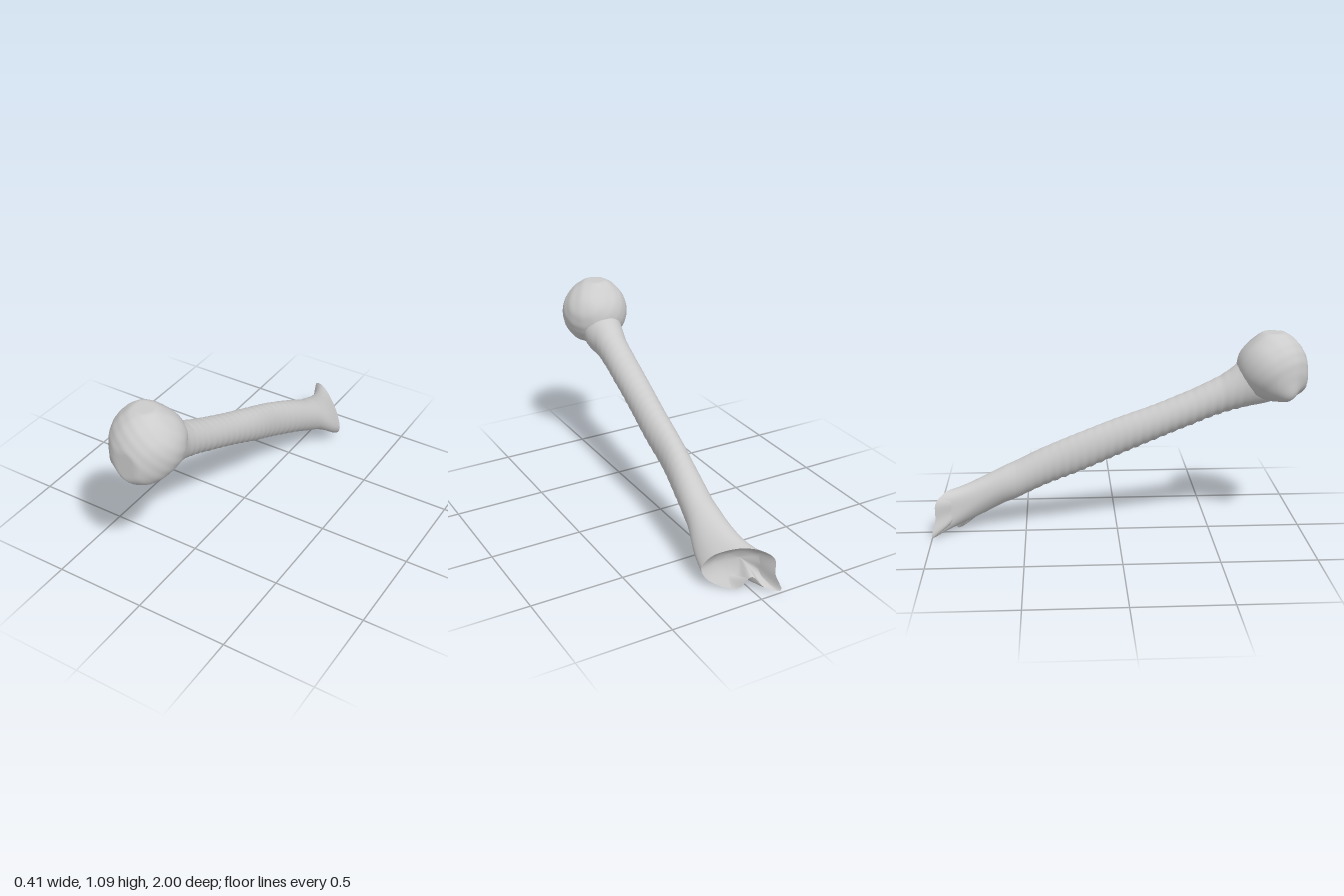
import * as THREE from 'three';

const SEG = 48;
const bone = () => new THREE.MeshStandardMaterial({ color: 0xcccccc, side: THREE.DoubleSide });
const smooth = (t) => THREE.MathUtils.smoothstep(t, 0, 1);

// Shaft stations: z, left x, right x, bottom y, top y
const STATIONS = [
  [0.90, -0.08, 0.05, 0.75, 0.95],
  [0.80, -0.11, 0.08, 0.72, 1.01],
  [0.70, -0.12, 0.10, 0.70, 1.00],
  [0.63, -0.11, 0.08, 0.685, 0.925],
  [0.55, -0.095, 0.075, 0.66, 0.865],
  [0.40, -0.085, 0.08, 0.60, 0.79],
  [0.20, -0.07, 0.09, 0.515, 0.705],
  [0.00, -0.05, 0.105, 0.425, 0.63],
  [-0.20, -0.035, 0.11, 0.335, 0.55],
  [-0.40, -0.018, 0.14, 0.25, 0.46],
  [-0.60, -0.01, 0.17, 0.15, 0.36],
  [-0.72, -0.01, 0.19, 0.08, 0.305],
  [-0.85, -0.01, 0.20, 0.03, 0.26],
];

// Outline of the forked lower end, counterclockwise from the right wing (x, y)
const END = new THREE.CatmullRomCurve3([
  [0.2, 0.11], [0.165, 0.18], [0.11, 0.22], [0.04, 0.245], [-0.03, 0.24], [-0.085, 0.2],
  [-0.09, 0.11], [-0.115, 0.02], [-0.05, 0.03], [0.0, 0.085], [0.055, 0.01], [0.17, 0.045],
].map(([x, y]) => new THREE.Vector3(x, y, -0.76 - 0.76 * (0.2 - x))), true);

// Smoothly interpolated station values at a given z
const curves = [1, 2, 3, 4].map((k) =>
  new THREE.CatmullRomCurve3(STATIONS.map((s) => new THREE.Vector3(s[0], s[k], 0)), false, 'centripetal'));
function station(z) {
  let i = 0;
  while (i < STATIONS.length - 2 && STATIONS[i + 1][0] > z) i++;
  const f = (STATIONS[i][0] - z) / (STATIONS[i][0] - STATIONS[i + 1][0]);
  const t = (i + THREE.MathUtils.clamp(f, 0, 1)) / (STATIONS.length - 1);
  return curves.map((c) => c.getPoint(t).y);
}

function shaftRing(z) {
  const [x0, x1, y0, y1] = station(z);
  return Array.from({ length: SEG }, (_, j) => {
    const a = (j / SEG) * Math.PI * 2;
    const c = Math.cos(a), s = Math.sin(a);
    // fine growth ridges, strongest on the underside
    const fade = smooth((z + 0.6) / 0.3) * smooth((0.75 - z) / 0.2);
    const r = 1 + fade * (0.012 - 0.022 * s) * Math.sin(z * 130);
    return new THREE.Vector3((x0 + x1) / 2 + c * r * (x1 - x0) / 2, (y0 + y1) / 2 + s * r * (y1 - y0) / 2, z);
  });
}

function loft(rings) {
  const pos = [], index = [];
  rings.forEach((ring) => ring.forEach((p) => pos.push(p.x, p.y, p.z)));
  for (let i = 0; i < rings.length - 1; i++) {
    for (let j = 0; j < SEG; j++) {
      const a = i * SEG + j, b = i * SEG + (j + 1) % SEG;
      index.push(a, a + SEG, b, b, a + SEG, b + SEG);
    }
  }
  const g = new THREE.BufferGeometry();
  g.setAttribute('position', new THREE.Float32BufferAttribute(pos, 3));
  g.setIndex(index);
  g.computeVertexNormals();
  return g;
}

// Long shaft flowing into the slanted, flared lower end
function makeShaft() {
  const rings = [];
  for (let z = 0.9; z > -0.55; z -= 0.0125) rings.push(shaftRing(z));
  const end = Array.from({ length: SEG }, (_, j) => END.getPoint(j / SEG));
  for (let i = 0; i <= 24; i++) {
    const t = i / 24;
    const ring = shaftRing(-0.55 - 0.3 * t);
    rings.push(ring.map((p, j) => {
      const k = t * t * t;
      const z = THREE.MathUtils.lerp(-0.55, end[j].z, t);
      return new THREE.Vector3(
        THREE.MathUtils.lerp(p.x, end[j].x, k), THREE.MathUtils.lerp(p.y, end[j].y, k), z);
    }));
  }
  return loft(rings);
}

// Hollowed face closing the lower end
function makeEndFace() {
  const end = Array.from({ length: SEG }, (_, j) => END.getPoint(j / SEG));
  const mid = new THREE.Vector3(0.045, 0.14, -0.878);
  const steps = [[1, 0], [0.88, 0.012], [0.65, 0.035], [0.35, 0.05], [0, 0.055]];
  return loft(steps.map(([s, d]) => end.map((p) =>
    mid.clone().lerp(p, s).add(new THREE.Vector3(-d * 0.5, d * 0.3, d)))));
}

// Rounded head: a sphere with swellings pushed out along chosen directions
function makeHead() {
  const g = new THREE.SphereGeometry(1, 64, 48);
  const bumps = [ // direction, height, tightness
    [[0, -0.55, 0.83], 0.032, 7],
    [[-0.66, -0.66, 0.35], 0.042, 16],
    [[0.35, -0.75, 0.5], 0.016, 8],
    [[-0.35, -0.78, 0.52], -0.03, 40],
    [[0.1, 0.75, -0.65], -0.012, 10],
    [[0.65, 0.7, 0], -0.008, 8],
    [[-0.1, 1, 0], 0.012, 8],
  ].map(([d, h, k]) => [new THREE.Vector3(...d).normalize(), h, k]);
  const p = g.attributes.position, v = new THREE.Vector3();
  for (let i = 0; i < p.count; i++) {
    v.fromBufferAttribute(p, i);
    let r = 0.184 + 0.0015 * Math.sin(v.x * 13 + v.y * 7) * Math.sin(v.z * 11 - v.y * 9);
    for (const [d, h, k] of bumps) r += h * Math.exp(k * (v.dot(d) - 1));
    v.multiplyScalar(r);
    // flattened crown and front
    p.setXYZ(i, v.x - 0.022, Math.min(v.y + 0.92, 1.1), Math.min(v.z + 0.815, 1));
  }
  g.computeVertexNormals();
  return g;
}

export function createModel() {
  const group = new THREE.Group();
  group.name = 'armBone';
  const parts = { shaft: makeShaft(), lowerEndFace: makeEndFace(), head: makeHead() };
  for (const [name, geometry] of Object.entries(parts)) {
    const mesh = new THREE.Mesh(geometry, bone());
    mesh.name = name;
    group.add(mesh);
  }
  return group;
}
